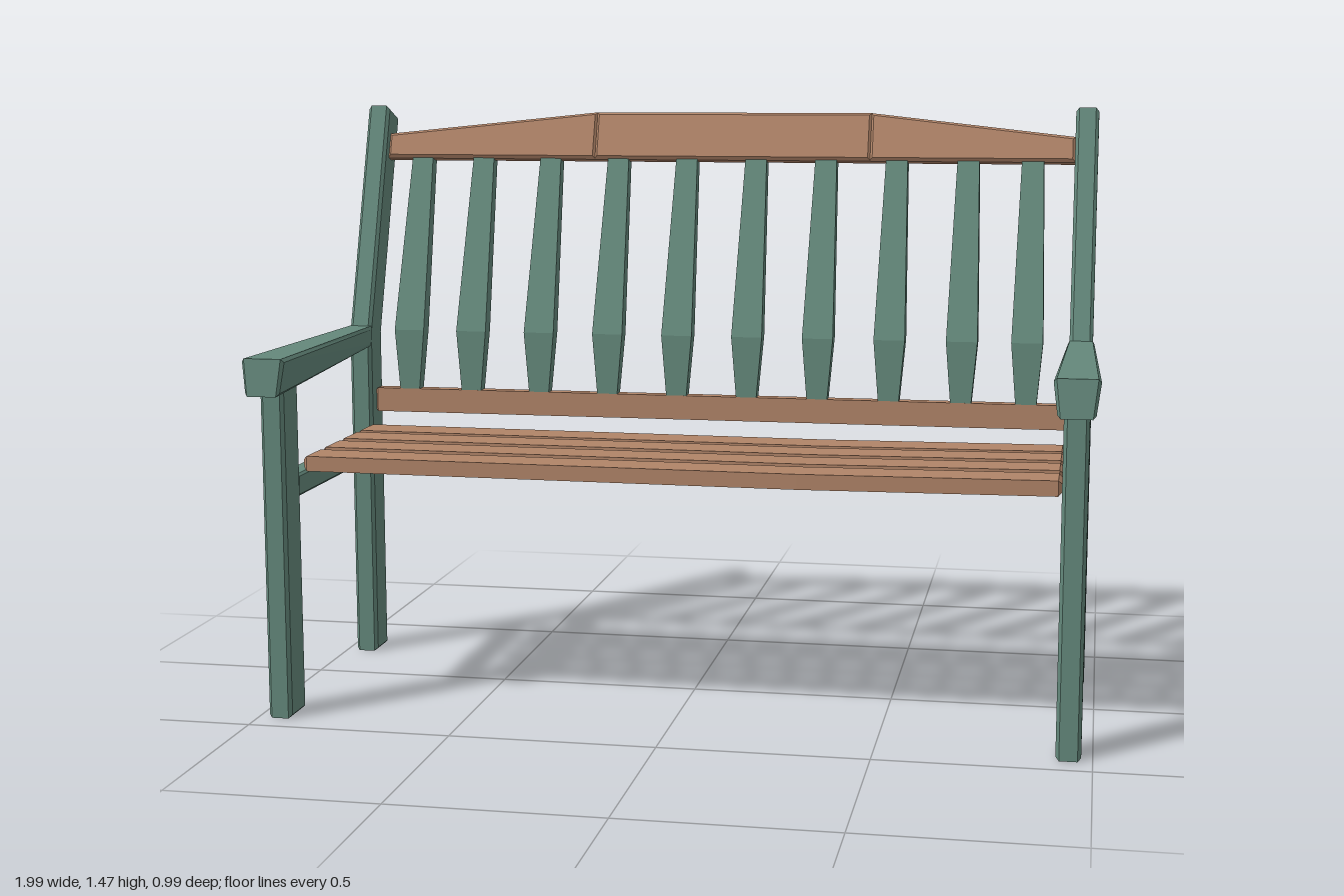
import * as THREE from 'three';

const green = new THREE.MeshStandardMaterial({ color: 0x64887b });
green.name = 'green paint';
const wood = new THREE.MeshStandardMaterial({ color: 0xb08468 });
wood.name = 'brown wood';

// Bevelled extrusion of an outline, centred on its depth
function bevelled(points, depth, bevel, steps = 1) {
  const shape = new THREE.Shape(points.map(([u, v]) => new THREE.Vector2(u, v)));
  const geo = new THREE.ExtrudeGeometry(shape, {
    depth: depth - 2 * bevel, steps, bevelEnabled: true, bevelSegments: 1,
    bevelSize: bevel, bevelThickness: bevel, bevelOffset: -bevel,
  });
  return geo.translate(0, 0, bevel - depth / 2);
}

// Side outline given as (z, y), extruded across x
const sideways = (points, width, bevel, steps) =>
  bevelled(points, width, bevel, steps).rotateY(-Math.PI / 2);

const rect = (z0, z1, y0, y1) => [[z0, y0], [z1, y0], [z1, y1], [z0, y1]];

// Move each vertex by a rule, then refresh the flat normals
function reshape(geo, rule) {
  const g = geo.index ? geo.toNonIndexed() : geo;
  const p = g.attributes.position;
  const v = new THREE.Vector3();
  for (let i = 0; i < p.count; i++) {
    rule(v.fromBufferAttribute(p, i));
    p.setXYZ(i, v.x, v.y, v.z);
  }
  g.computeVertexNormals();
  return g;
}

export function createModel() {
  const bench = new THREE.Group();
  bench.name = 'gardenBench';
  const add = (name, geo, material, x = 0) => {
    const mesh = new THREE.Mesh(geo, material);
    mesh.name = name;
    mesh.position.x = x;
    bench.add(mesh);
    return mesh;
  };

  // End frames: legs, seat rails and armrests
  const rearLeg = sideways([[-0.305, 0], [-0.212, 0], [-0.212, 0.87],
    [-0.41, 1.465], [-0.494, 1.433], [-0.305, 0.862]], 0.058, 0.008);
  const frontLeg = sideways(rect(0.333, 0.435, 0, 0.815), 0.058, 0.008);
  const seatRail = sideways(rect(-0.22, 0.34, 0.53, 0.586), 0.054, 0.006);
  const armrest = reshape(
    sideways([[-0.222, 0.833], [0.497, 0.798], [0.486, 0.887], [-0.222, 0.887]], 0.108, 0.008),
    (v) => {
      const along = (v.z + 0.222) / 0.72;
      const up = (v.y - 0.8) / 0.087;
      v.x *= (0.62 + 0.38 * along) * (0.78 + 0.22 * up);
    });
  for (const [side, s] of [['left', 1], ['right', -1]]) {
    add(side + 'RearLeg', rearLeg, green, s * 0.945);
    add(side + 'FrontLeg', frontLeg, green, s * 0.945);
    add(side + 'SeatRail', seatRail, green, s * 0.945);
    add(side + 'Armrest', armrest, green, s * 0.945);
  }

  // Seat slats, very slightly bowed
  [0.264, 0.127, -0.01, -0.139].forEach((z, i) => {
    const slat = reshape(
      sideways(rect(z - 0.051, z + 0.051, 0.59, 0.627), 1.83, 0.009, 6), (v) => {
        const d = v.x - 0.3;
        const bow = 1 - Math.abs(d) / (d > 0 ? 0.615 : 1.215);
        v.z += 0.009 * bow;
        v.y -= 0.003 * bow;
      });
    add('seatSlat' + (i + 1), slat, wood);
  });

  // Lower back rail
  add('lowerBackRail', sideways(rect(-0.281, -0.245, 0.655, 0.718), 1.83, 0.005), wood);

  // Back spindles: widest at the knee, then leaning back
  const spindle = reshape(new THREE.BoxGeometry(1, 1, 1, 1, 2, 1), (v) => {
    const row = Math.round((v.y + 0.5) * 2);
    v.x *= [0.052, 0.08, 0.056][row];
    v.y = [0.71, 0.875, 1.335][row];
    v.z = v.z * [0.036, 0.045, 0.036][row] + [-0.263, -0.27, -0.418][row];
  });
  [-0.82, -0.65, -0.465, -0.28, -0.095, 0.09, 0.275, 0.46, 0.645, 0.81]
    .forEach((x, i) => add('backSpindle' + (i + 1), spindle, green, x));

  // Crest rail: three bevelled boards tilted with the back
  const crest = new THREE.Group();
  crest.name = 'crestRail';
  const low = 0.068, high = 0.13;
  [
    [[-0.918, 0], [-0.342, 0], [-0.342, high], [-0.918, low]],
    [[-0.346, 0], [0.392, 0], [0.392, high], [-0.346, high]],
    [[0.388, 0], [0.918, 0], [0.918, low], [0.388, high]],
  ].forEach((outline, i) => {
    const board = new THREE.Mesh(bevelled(outline, 0.036, 0.008), wood);
    board.name = 'crestBoard' + (i + 1);
    crest.add(board);
  });
  crest.position.set(0, 1.322, -0.408);
  crest.rotation.x = -0.318;
  bench.add(crest);

  return bench;
}
